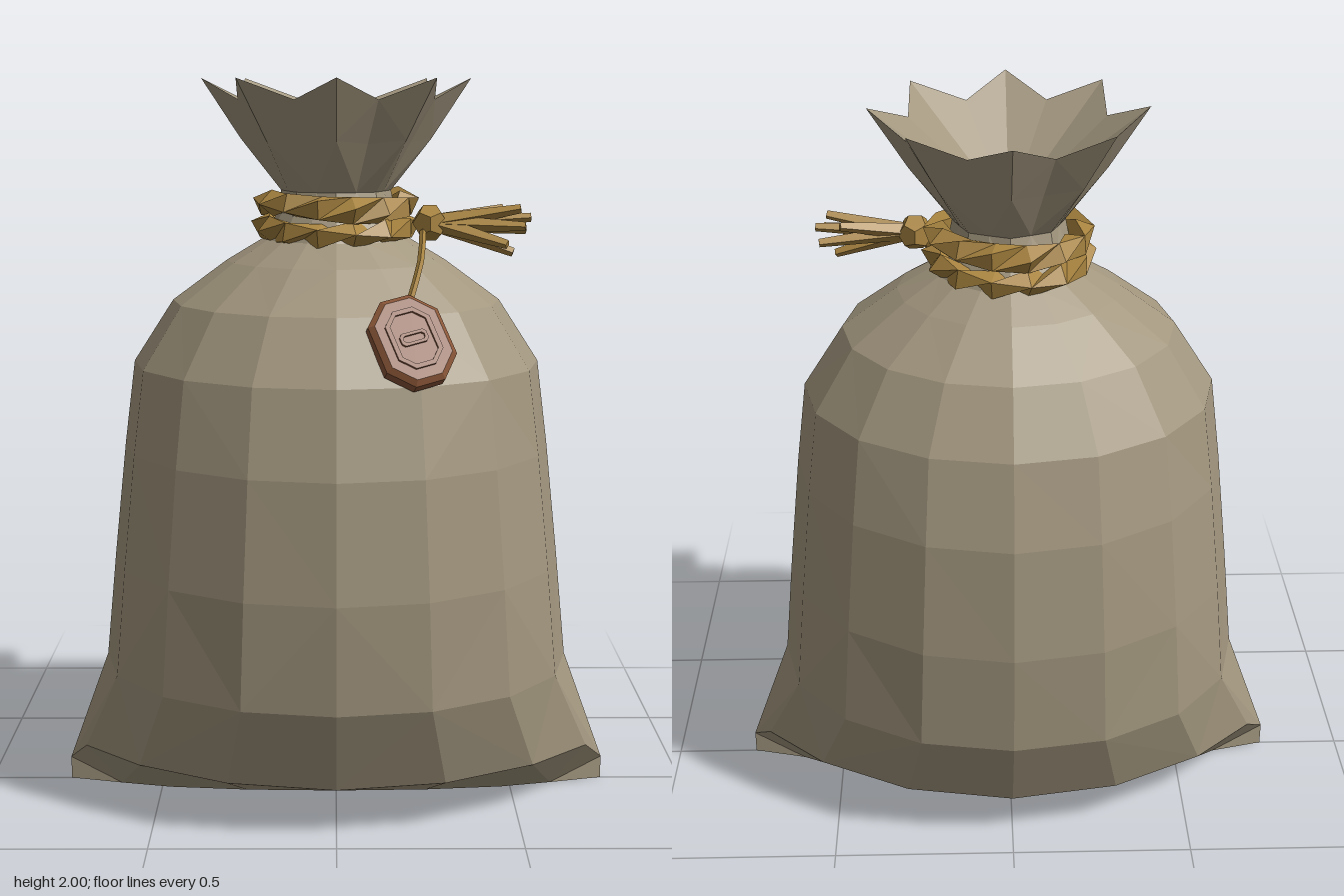
import * as THREE from 'three';

const flat = (name, color) => {
  const m = new THREE.MeshStandardMaterial({ color, flatShading: true });
  m.name = name;
  return m;
};

// Skin a stack of equal-length closed rings, with the quad diagonals in a criss-cross pattern
function loft(rings) {
  const pos = [];
  const n = rings[0].length;
  for (let j = 0; j < rings.length - 1; j++) {
    for (let i = 0; i < n; i++) {
      const k = (i + 1) % n;
      const a = rings[j][i], b = rings[j + 1][i], c = rings[j][k], d = rings[j + 1][k];
      const tris = (i + j) % 2 === 0 ? [a, b, d, a, d, c] : [a, b, c, c, b, d];
      tris.forEach(p => pos.push(...p));
    }
  }
  const g = new THREE.BufferGeometry();
  g.setAttribute('position', new THREE.Float32BufferAttribute(pos, 3));
  g.computeVertexNormals();
  return g;
}

const SIDES = 16;
const ring = fn => Array.from({ length: SIDES }, (_, i) => {
  const t = i / SIDES * Math.PI * 2;
  return fn(Math.cos(t), Math.sin(t), i);
});
const oval = (y, rx, rz) => ring((c, s) => [c * rx, y, s * rz]);

// Octagonal plate outline with cut corners
function octagon(Type, w, h, cut) {
  const x = w / 2, y = h / 2;
  return new Type([[x, -y + cut], [x, y - cut], [x - cut, y], [-x + cut, y],
    [-x, y - cut], [-x, -y + cut], [-x + cut, -y], [x - cut, -y]].map(p => new THREE.Vector2(...p)));
}

export function createModel() {
  const cloth = flat('sackcloth', 0xa3977f);
  const ropeMat = flat('rope', 0xa88440);
  const tagMat = flat('tagBrown', 0x8a5638);
  const root = new THREE.Group();
  root.name = 'tiedSack';
  const add = (parent, name, geo, mat) => {
    const m = new THREE.Mesh(geo, mat);
    m.name = name;
    parent.add(m);
    return m;
  };

  // Body: flat seam at the bottom with pinched corners, swelling into a round bag
  const tip = i => i % (SIDES / 2) === 0;
  add(root, 'sackBody', loft([
    oval(0, 0, 0),
    ring((c, s, i) => [c * (tip(i) ? 0.77 : 0.67), 0, s * 0.1]),
    ring((c, s, i) => [c * 0.77, tip(i) ? 0.065 : 0.135,
      tip(i) ? 0 : Math.sign(s) * Math.pow(Math.abs(s), 1.6) * 0.43]),
    oval(0.38, 0.655, 0.54),
    oval(0.68, 0.625, 0.565),
    oval(1.0, 0.59, 0.55),
    oval(1.23, 0.56, 0.5),
    oval(1.4, 0.45, 0.41),
    oval(1.51, 0.3, 0.285),
    oval(1.57, 0.2, 0.2),
    oval(1.64, 0.16, 0.16),
  ]), cloth);

  // Gathered mouth: eight-pointed ruffle folding back down to the tie
  const star = (rTip, yTip, rDip, yDip) => ring((c, s, i) => {
    const [r, y] = i % 2 ? [rDip, yDip] : [rTip, yTip];
    return [c * r, y, s * r];
  });
  add(root, 'sackMouth', loft([
    oval(1.6, 0.17, 0.17),
    star(0.15, 1.7, 0.14, 1.7),
    star(0.26, 1.84, 0.215, 1.83),
    star(0.365, 2.0, 0.283, 1.945),
    oval(1.72, 0, 0),
  ]), cloth);

  // Two twisted rope wraps around the neck
  const wrap = (y, R, phase) => {
    const rings = [];
    const steps = 14;
    for (let j = 0; j <= steps; j++) {
      const t = (j % steps) / steps * Math.PI * 2;
      rings.push(Array.from({ length: 4 }, (_, i) => {
        const a = -i * Math.PI / 2 + t * 2.5 + phase;
        const r = R + Math.cos(a) * 0.04;
        return [Math.cos(t) * r, y + Math.sin(t * 2 + phase) * 0.008 + Math.sin(a) * 0.036, -Math.sin(t) * r];
      }));
    }
    // A half-odd twist meets itself rotated by two corners
    rings[steps] = [2, 3, 0, 1].map(i => rings[0][(i + 2) % 4]);
    return loft(rings);
  };
  const ropeFaces = ropeMat;
  ropeFaces.side = THREE.DoubleSide;
  add(root, 'upperRopeWrap', wrap(1.662, 0.19, 0.4), ropeFaces);
  add(root, 'lowerRopeWrap', wrap(1.597, 0.195, 1.9), ropeFaces);

  // Knot with a frayed tassel
  const knot = add(root, 'knot', new THREE.DodecahedronGeometry(0.05), ropeMat);
  knot.position.set(0.25, 1.62, 0.125);
  const ends = [[0.52, 1.635, 0.13], [0.5, 1.615, 0.19], [0.49, 1.66, 0.16], [0.47, 1.545, 0.17],
    [0.51, 1.6, 0.1], [0.45, 1.655, 0.075], [0.45, 1.57, 0.22]];
  const start = new THREE.Vector3(0.265, 1.62, 0.13);
  for (const e of ends) {
    const end = new THREE.Vector3(...e);
    const len = start.distanceTo(end);
    const g = new THREE.CylinderGeometry(0.012, 0.024, len, 4);
    g.rotateX(Math.PI / 2).translate(0, 0, len / 2);
    const strand = add(root, 'tasselStrand', g, ropeMat);
    strand.position.copy(start);
    strand.lookAt(end);
  }

  // Cord from the knot to the tag
  const cord = new THREE.CatmullRomCurve3([[0.23, 1.6, 0.16], [0.22, 1.53, 0.26], [0.19, 1.44, 0.345]]
    .map(p => new THREE.Vector3(...p)));
  add(root, 'tagCord', new THREE.TubeGeometry(cord, 4, 0.009, 4), ropeMat);

  // Hanging tag: bevelled octagon with a raised frame and a small slotted centre
  const tag = new THREE.Group();
  tag.name = 'tag';
  tag.position.set(0.19, 1.337, 0.415);
  tag.lookAt(0.19 + 0.2, 1.337 + 0.55, 0.415 + 0.8);
  tag.rotateZ(0.24);
  root.add(tag);
  const plate = new THREE.ExtrudeGeometry(octagon(THREE.Shape, 0.17, 0.22, 0.05),
    { depth: 0.03, bevelEnabled: true, bevelThickness: 0.012, bevelSize: 0.014, bevelSegments: 1 });
  add(tag, 'tagPlate', plate.translate(0, 0, -0.015), tagMat);
  const frame = (name, w, h, cut, t) => {
    const s = octagon(THREE.Shape, w, h, cut);
    s.holes.push(octagon(THREE.Path, w - t, h - t, cut * 0.75));
    const g = new THREE.ExtrudeGeometry(s, { depth: 0.008, bevelEnabled: false });
    add(tag, name, g.translate(0, 0, 0.026), tagMat);
  };
  frame('tagFrame', 0.125, 0.165, 0.035, 0.025);
  frame('tagSlot', 0.075, 0.035, 0.008, 0.016);

  return root;
}
